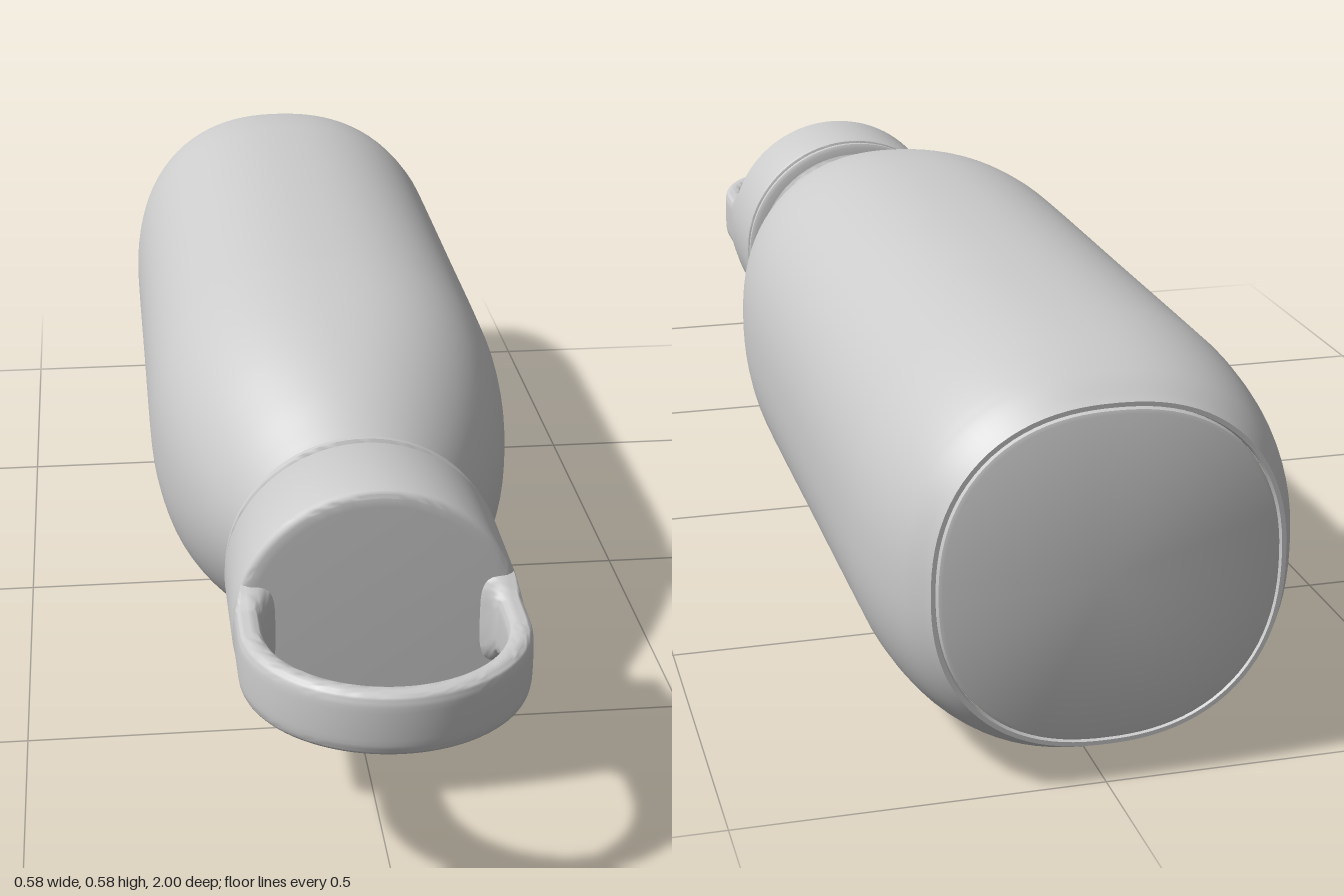
import * as THREE from 'three';
import { toCreasedNormals } from 'three/addons/utils/BufferGeometryUtils.js';

const CY = 0.2925; // height of the bottle's long axis
const CAP_R = 0.2025;
const material = new THREE.MeshStandardMaterial({ color: 0xcccccc });

const vec = (pts) => pts.map(([r, z]) => new THREE.Vector2(r, z));
const smooth = (pts, n) => new THREE.SplineCurve(vec(pts)).getPoints(n);

function addMesh(group, name, geometry, crease = 0.6) {
  const mesh = new THREE.Mesh(toCreasedNormals(geometry, crease), material);
  mesh.name = name;
  mesh.position.y = CY;
  group.add(mesh);
}

// Turned part along z; squareness(z) blends the round section to a soft square
function turned(points, squareness = () => 0) {
  const geo = new THREE.LatheGeometry(points, 96).rotateX(Math.PI / 2);
  const p = geo.attributes.position;
  for (let i = 0; i < p.count; i++) {
    const x = p.getX(i), y = p.getY(i), r = Math.hypot(x, y);
    if (r < 1e-6) continue;
    const n = 2 + 0.3 * squareness(p.getZ(i));
    const k = Math.pow(Math.pow(Math.abs(x / r), n) + Math.pow(Math.abs(y / r), n), -1 / n);
    p.setXY(i, x * k, y * k);
  }
  return geo;
}

// Carrying loop: a rounded strip swept over an arch, with flared feet
function loopGeometry() {
  const R = 0.182, zc = 0.8, z0 = 0.71, sides = 32, legs = 14, arc = 48;
  const path = [];
  for (let i = 0; i < legs; i++) path.push([R, z0 + ((zc - z0) * i) / legs, 0]);
  for (let i = 0; i <= arc; i++) {
    const a = (Math.PI * i) / arc;
    path.push([R * Math.cos(a), zc + R * Math.sin(a), a]);
  }
  for (let i = legs - 1; i >= 0; i--) path.push([-R, z0 + ((zc - z0) * i) / legs, Math.PI]);

  const pos = [], index = [];
  const soft = (v) => Math.sign(v) * Math.pow(Math.abs(v), 0.5);
  path.forEach(([x, z, a], i) => {
    const flare = 0.025 * Math.pow(Math.max(0, 1 - Math.max(0, z - 0.722) / 0.035), 2);
    for (let j = 0; j < sides; j++) {
      const b = (j / sides) * Math.PI * 2, c = soft(Math.cos(b));
      const off = c * (0.018 + (c < 0 ? flare : 0));
      const y = soft(Math.sin(b)) * (0.045 + flare);
      const limit = Math.sqrt(CAP_R ** 2 - y * y) - 0.001;
      const px = THREE.MathUtils.clamp(x + off * Math.cos(a), -limit, limit);
      pos.push(px, y, z + off * Math.sin(a));
      if (i < path.length - 1) {
        const k = (j + 1) % sides, p = i * sides, q = p + sides;
        index.push(p + j, p + k, q + j, p + k, q + k, q + j);
      }
    }
  });
  const geo = new THREE.BufferGeometry();
  geo.setAttribute('position', new THREE.Float32BufferAttribute(pos, 3));
  geo.setIndex(index);
  return geo;
}

export function createModel() {
  const group = new THREE.Group();
  group.name = 'bottle';

  // Body: foot rim, straight wall, shoulder and neck
  const wall = smooth([
    [0.241, -0.99], [0.262, -0.95], [0.28, -0.88], [0.29, -0.79], [0.2915, -0.7],
    [0.2915, -0.35], [0.2915, -0.05], [0.288, 0.06], [0.275, 0.17], [0.25, 0.275],
    [0.215, 0.37], [0.182, 0.44], [0.166, 0.475], [0.163, 0.5], [0.17, 0.52], [0.185, 0.53],
  ], 90);
  const fade = (z) => 1 - THREE.MathUtils.smoothstep(z, 0.1, 0.46);
  addMesh(group, 'body', turned([...vec([[0.229, -0.99], [0.231, -0.998], [0.237, -0.998]]), ...wall], fade));

  // Flat base plate
  addMesh(group, 'base', turned(vec([[0, -1], [0.222, -1], [0.227, -0.998], [0.229, -0.985]]), fade));

  // Thin collar under the cap
  addMesh(group, 'collar', turned(vec([
    [0.16, 0.528], [0.193, 0.528], [0.2, 0.532], [0.2, 0.54], [0.194, 0.545], [0.186, 0.546], [0.186, 0.56],
  ])));

  // Cap with softened rims
  addMesh(group, 'cap', turned(vec([
    [0.15, 0.553], [0.196, 0.553], [0.2, 0.555], [CAP_R, 0.56], [CAP_R, 0.712],
    [0.2012, 0.718], [0.198, 0.722], [0.192, 0.724], [0.18, 0.7245], [0, 0.7245],
  ])));

  addMesh(group, 'carryLoop', loopGeometry(), 1);
  return group;
}
